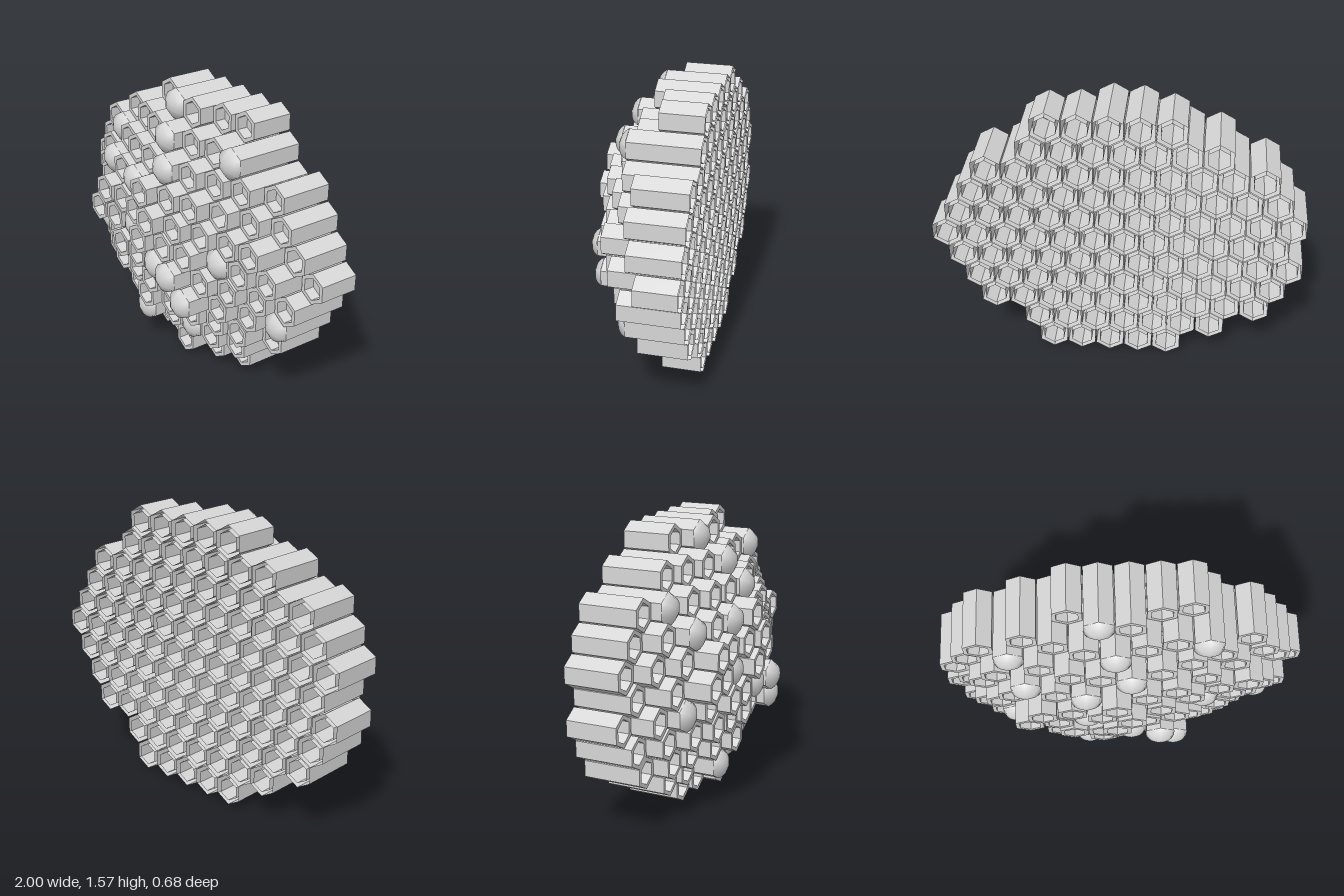
import * as THREE from 'three';

const PITCH = 0.1605, ROW = 0.139, OUTER = 0.089, INNER = 0.0645, BACK = -0.34;
const FLOOR_DEPTH = 0.06;

// Rows from top to bottom: o = floored cell, H = open right through, D = domed cap.
// first = column of the first cell; odd rows are shifted by half a pitch.
const ROWS = [
  { first: 4, cells: 'oDHoo' },
  { first: 2, cells: 'oooDoHD' },
  { first: 1, cells: 'oDHooDoooo' },
  { first: 0, cells: 'ooDoDoooHoo' },
  { first: 0, cells: 'ooooHoooHooH' },
  { first: 0, cells: 'ooooDHHHDooo' },
  { first: 0, cells: 'HoDHooDDoooo' },
  { first: 0, cells: 'oHooooHDooD' },
  { first: 1, cells: 'oooHooHooo' },
  { first: 2, cells: 'ooDoDoo' },
  { first: 4, cells: 'ooooo' },
];

// Cells whose front edge departs from the general swell, keyed by row_index
const FRONT = {
  '0_1': -0.01, '0_2': 0, '1_3': 0.115, '1_6': 0.045, '2_1': 0.035, '2_5': 0.185,
  '3_0': -0.03, '3_2': 0.15, '3_4': 0.22, '3_5': 0.295,
  '4_0': -0.04, '4_3': 0.27, '4_4': 0.255, '4_6': 0.313, '4_8': 0.18, '4_9': 0.13,
  '4_10': 0.11, '4_11': -0.06,
  '5_0': -0.02, '5_2': 0.265, '5_4': 0.22, '5_5': 0.31, '5_8': 0.12, '5_9': 0.11,
  '5_10': 0.055, '5_11': -0.115,
  '6_0': -0.06, '6_2': 0.13, '6_4': 0.27, '6_7': 0.285, '6_8': 0.18, '6_9': 0.12, '6_11': -0.01,
  '7_0': -0.02, '7_7': 0.245, '7_10': -0.03, '8_4': 0.21,
  '9_2': 0.14, '9_4': 0.05, '10_2': 0.044,
};

export function createModel() {
  const comb = new THREE.Group();
  comb.name = 'honeycomb';
  const wax = new THREE.MeshStandardMaterial({ color: 0xd6d6d6, side: THREE.DoubleSide });
  wax.name = 'grey wax';

  // Unit-deep hexagonal wall: outside, front rim and bore, open at the back
  const profile = [[OUTER, 0], [OUTER, 1], [INNER, 1], [INNER, 0]].map(([x, y]) => new THREE.Vector2(x, y));
  const wallGeo = new THREE.LatheGeometry(profile, 6).rotateX(Math.PI / 2).toNonIndexed();
  wallGeo.computeVertexNormals();

  // Hexagonal floor facing the front
  const floorGeo = new THREE.CircleGeometry(INNER, 6).rotateZ(Math.PI / 2);

  // Six-sided smooth cap cut from a sphere, bulging to the front
  const capRadius = 0.0915 / Math.sin(Math.PI / 3);
  const capGeo = new THREE.SphereGeometry(capRadius, 6, 4, 0, Math.PI * 2, 0, Math.PI / 3);
  capGeo.translate(0, -capRadius / 2, 0).rotateX(Math.PI / 2).rotateZ(Math.PI / 2);

  let seed = 7;
  const random = () => (seed = (seed * 16807) % 2147483647) / 2147483647;

  ROWS.forEach(({ first, cells }, r) => {
    const y = OUTER + (ROWS.length - 1 - r) * ROW;
    [...cells].forEach((kind, i) => {
      const x = (first + i - 5.75 + (r % 2) * 0.5) * PITCH;
      // Front swells towards the middle, with a little unevenness
      const u2 = x * x + ((y - 0.785) / 0.78) ** 2;
      const swell = 0.275 - 0.4 * u2 - 0.05 * x + (random() - 0.5) * 0.04;
      const front = FRONT[`${r}_${i}`] ?? swell;

      const cell = new THREE.Group();
      cell.name = { o: 'flooredCell', H: 'throughCell', D: 'cappedCell' }[kind];
      cell.position.set(x, y, 0);
      const add = (name, geo, z) => {
        const mesh = new THREE.Mesh(geo, wax);
        mesh.name = name;
        mesh.position.z = z;
        cell.add(mesh);
        return mesh;
      };
      add('cellWall', wallGeo, BACK).scale.z = front - BACK;
      if (kind === 'o') add('cellFloor', floorGeo, front - FLOOR_DEPTH);
      if (kind === 'D') add('cellCap', capGeo, front);
      comb.add(cell);
    });
  });
  return comb;
}
